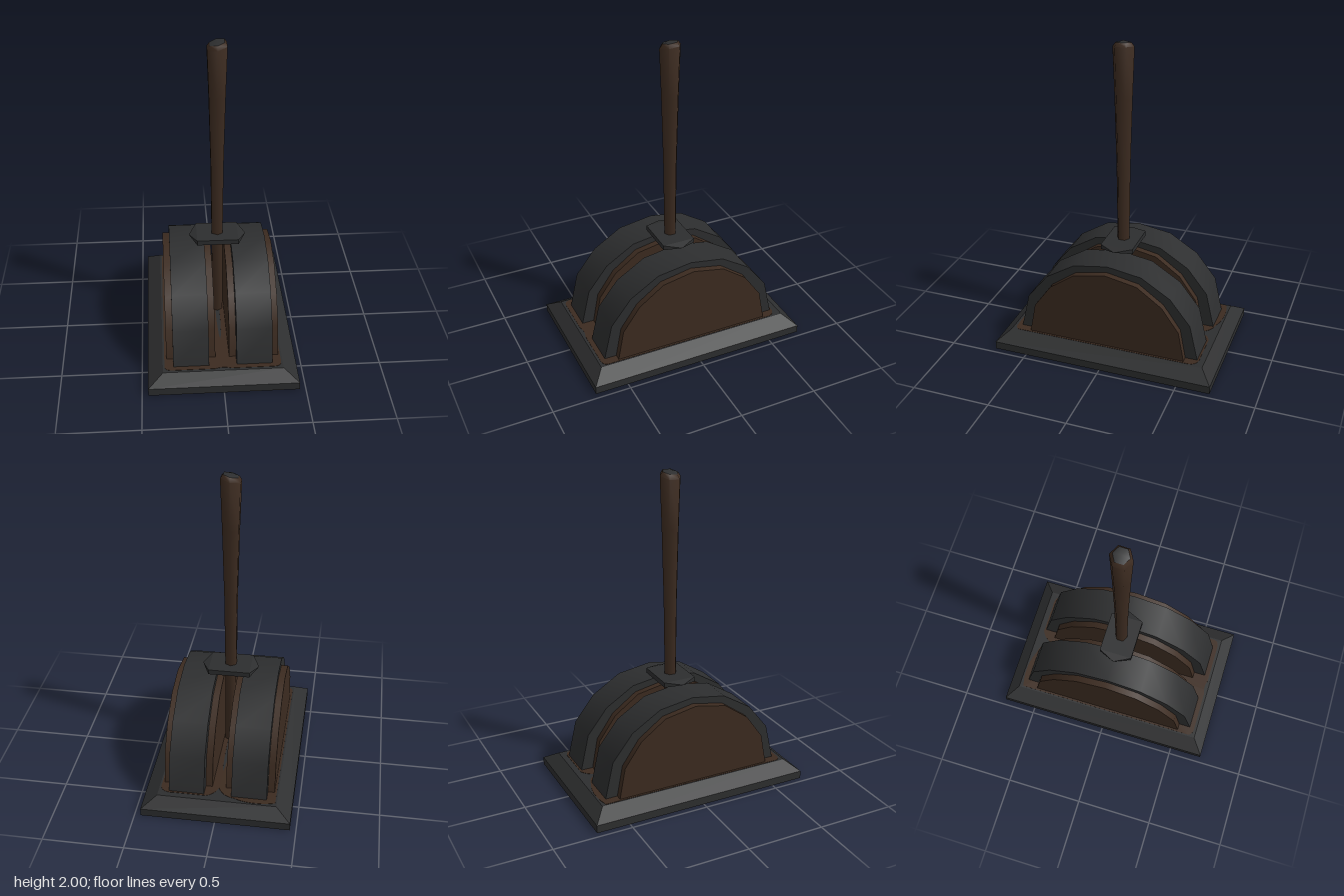
import * as THREE from 'three';
import { toCreasedNormals } from 'three/addons/utils/BufferGeometryUtils.js';

const iron = new THREE.MeshStandardMaterial({ color: 0x2d2e2f });
iron.name = 'darkIron';
const wood = new THREE.MeshStandardMaterial({ color: 0x3c2b20 });
wood.name = 'darkBrown';

function part(name, geometry, material) {
  const mesh = new THREE.Mesh(geometry, material);
  mesh.name = name;
  return mesh;
}

// Joins concentric rectangles [halfWidth, halfDepth, y] into a flat-faced skin
function rectangleLoft(rings) {
  const corner = ([w, d, y], i) => {
    const [sx, sz] = [[-1, -1], [1, -1], [1, 1], [-1, 1]][i % 4];
    return [sx * w, y, sz * d];
  };
  const pos = [];
  for (let r = 0; r < rings.length - 1; r++) {
    for (let i = 0; i < 4; i++) {
      const a = corner(rings[r], i), b = corner(rings[r], i + 1);
      const c = corner(rings[r + 1], i), d = corner(rings[r + 1], i + 1);
      pos.push(...a, ...c, ...b, ...b, ...c, ...d);
    }
  }
  const geo = new THREE.BufferGeometry();
  geo.setAttribute('position', new THREE.Float32BufferAttribute(pos, 3));
  geo.computeVertexNormals();
  return geo;
}

// Mirrors half an arch profile [z, y], extrudes it across x and smooths the curve
function archGeometry(half, width) {
  const other = half.slice(0, -1).reverse().map(([z, y]) => [-z, y]);
  const shape = new THREE.Shape([...half, ...other].map(p => new THREE.Vector2(...p)));
  const geo = new THREE.ExtrudeGeometry(shape, { depth: width, bevelEnabled: false });
  geo.translate(0, 0, -width / 2);
  return toCreasedNormals(geo.rotateY(Math.PI / 2), 0.6);
}

// Worn patch on the base top, notched at the ends and slit along the middle
function patchGeometry() {
  const s = new THREE.Shape();
  s.moveTo(-0.36, -0.58);
  s.quadraticCurveTo(-0.36, -0.62, -0.31, -0.62);
  s.lineTo(-0.05, -0.62);
  s.quadraticCurveTo(0, -0.6, 0.05, -0.62);
  s.lineTo(0.31, -0.62);
  s.quadraticCurveTo(0.36, -0.62, 0.36, -0.58);
  s.lineTo(0.36, 0.55);
  s.quadraticCurveTo(0.35, 0.61, 0.27, 0.6);
  s.lineTo(0.07, 0.6);
  s.quadraticCurveTo(0.02, 0.58, 0, 0.52);
  s.quadraticCurveTo(-0.03, 0.59, -0.1, 0.6);
  s.quadraticCurveTo(-0.22, 0.65, -0.36, 0.61);
  const slit = new THREE.Path();
  slit.absellipse(0, 0.01, 0.014, 0.35, 0, Math.PI * 2, true);
  s.holes.push(slit);
  const geo = new THREE.ExtrudeGeometry(s, { depth: 0.002, bevelEnabled: false, curveSegments: 6 });
  return geo.rotateX(-Math.PI / 2);
}

// Six-sided turned shape whose top end leans slightly to one side
function handleGeometry(profile) {
  const geo = new THREE.LatheGeometry(profile.map(q => new THREE.Vector2(...q)), 6);
  const p = geo.attributes.position;
  for (let i = 0; i < p.count; i++) {
    if (p.getY(i) > 1.9) p.setY(i, p.getY(i) + 0.2 * p.getX(i) - 0.08 * p.getZ(i));
  }
  geo.computeVertexNormals();
  return toCreasedNormals(geo, 1.1);
}

export function createModel() {
  const model = new THREE.Group();
  model.name = 'floorLever';

  // Bevelled base: a thin shell, open underneath
  model.add(part('base', rectangleLoft([
    [0.362, 0.629, 0.102], [0.452, 0.702, 0.046], [0.452, 0.702, 0],
    [0.462, 0.712, 0], [0.462, 0.712, 0.05], [0.37, 0.637, 0.11], [0, 0, 0.11],
  ]), iron));
  const underside = part('undersidePanel', new THREE.PlaneGeometry(0.724, 1.258).rotateX(Math.PI / 2), wood);
  underside.position.y = 0.102;
  model.add(underside);
  const patch = part('basePatch', patchGeometry(), wood);
  patch.position.y = 0.11;
  model.add(patch);

  // Two half drums, each with an iron strap over it
  const drum = archGeometry(
    [[0.515, 0.098], [0.475, 0.31], [0.365, 0.465], [0.205, 0.58], [0, 0.62]], 0.304);
  const strap = archGeometry(
    [[0.59, 0.105], [0.535, 0.345], [0.405, 0.51], [0.22, 0.625], [0, 0.66]], 0.22);
  for (const [side, sx] of [['left', 1], ['right', -1]]) {
    const d = part(side + 'Drum', drum, wood);
    const s = part(side + 'Strap', strap, iron);
    d.position.x = s.position.x = sx * 0.195;
    model.add(d, s);
  }

  // Guard plate with pointed ends
  const guardGeo = new THREE.BoxGeometry(0.36, 0.032, 0.21, 3, 1, 1).toNonIndexed();
  const p = guardGeo.attributes.position;
  for (let i = 0; i < p.count; i++) {
    const x = p.getX(i);
    if (Math.abs(x) > 0.1) p.setXYZ(i, x, 0, 0);
    else p.setX(i, Math.sign(x) * 0.13);
  }
  guardGeo.computeVertexNormals();
  const guard = part('guardPlate', guardGeo, iron);
  guard.position.y = 0.692;
  model.add(guard);

  // Tapering handle and its small worn cap
  model.add(part('handle', handleGeometry([
    [0, 0.098], [0.039, 0.098], [0.04, 0.75], [0.045, 1.2], [0.057, 1.65], [0.068, 1.96], [0.05, 1.985],
  ]), wood));
  model.add(part('handleCap', handleGeometry([[0.05, 1.985], [0, 1.998]]), iron));

  return model;
}
